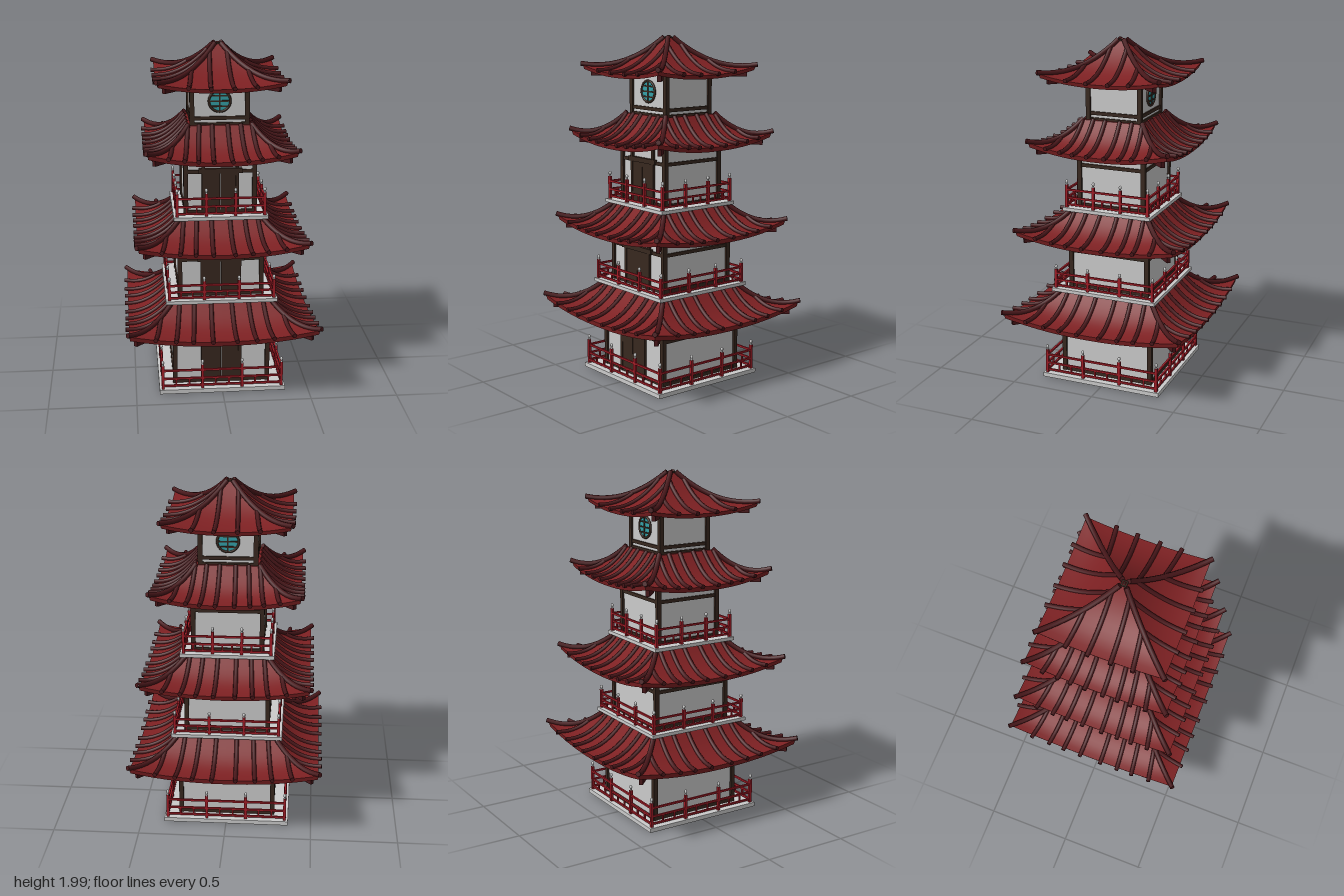
import * as THREE from 'three';
import { toCreasedNormals } from 'three/addons/utils/BufferGeometryUtils.js';

const mat = (color, side = THREE.FrontSide) => new THREE.MeshStandardMaterial({ color, side });
const plaster = mat(0xcccccc), stone = mat(0xcccccc), wood = mat(0x38281f), tile = mat(0x7d2022, THREE.DoubleSide);
const ribMat = mat(0x471619), railRed = mat(0xa01c26), glass = mat(0x35a0a8);

function add(parent, name, geometry, material, x = 0, y = 0, z = 0) {
  const m = new THREE.Mesh(geometry, material);
  m.name = name;
  m.position.set(x, y, z);
  parent.add(m);
  return m;
}
const box = (parent, name, material, w, h, d, x, y, z) =>
  add(parent, name, new THREE.BoxGeometry(w, h, d), material, x, y, z);

function group(parent, name) {
  const g = new THREE.Group();
  g.name = name;
  parent.add(g);
  return g;
}

// Calls build once per side, with the side group turned to face outwards
function fourSides(parent, name, build) {
  for (let i = 0; i < 4; i++) {
    const g = group(parent, name);
    g.rotation.y = i * Math.PI / 2;
    build(g, i);
  }
}

// Swept roof: concave slope, eaves curving up towards the corners
function addRoof(parent, { top, a, e, drop, lift, thick, wall, ribs }) {
  const roof = group(parent, 'roof');
  const height = (x, d) => {
    const t = THREE.MathUtils.clamp((d - a) / (e - a), 0, 1.05);
    const u = d > 0 ? Math.min(Math.abs(x) / d, 1) : 0;
    return top - drop * (1 - Math.pow(Math.max(1 - t, 0), 2.1)) + lift * t * t * Math.pow(u, 2.2);
  };
  const N = 10, M = 16;
  const tube = (parentSide, name, points, r) => {
    const curve = new THREE.CatmullRomCurve3(points);
    add(parentSide, name, new THREE.TubeGeometry(curve, 12, r, 8), ribMat);
    // closed ends
    [0, 1].forEach(t => {
      const cap = add(parentSide, name + 'End', new THREE.CircleGeometry(r, 8), ribMat);
      const p = curve.getPoint(t), dir = curve.getTangent(t).multiplyScalar(t ? 1 : -1);
      cap.position.copy(p);
      cap.quaternion.setFromUnitVectors(new THREE.Vector3(0, 0, 1), dir);
    });
  };

  fourSides(roof, 'roofSide', side => {
    // rows 0..N slope, N+1 eave edge, N+2 soffit
    const geo = new THREE.PlaneGeometry(2, 1, M, N + 2);
    const p = geo.attributes.position;
    for (let i = 0; i < p.count; i++) {
      const row = Math.floor(i / (M + 1)), u = p.getX(i);
      const d = row <= N ? a + (e - a) * row / N : row === N + 1 ? e - 0.006 : wall - 0.01;
      let y = height(u * d, d);
      if (row === N + 1) y = height(u * e, e) - thick;
      if (row === N + 2) y = top - drop - thick + 0.05;
      p.setXYZ(i, u * d, y, d);
    }
    add(side, 'roofSlope', toCreasedNormals(geo, 0.6), tile);

    // tile ribs, drawing slightly together uphill until they meet the hip
    for (const f of ribs) for (const s of [-1, 1]) {
      const xAt = d => f * e * (1 - 0.25 * (1 - d / e));
      const start = Math.max(a, f * e * 0.75 / (1 - 0.25 * f));
      const pts = [];
      for (let k = 0; k <= 8; k++) {
        const d = start + (e + 0.018 - start) * k / 8, x = xAt(d);
        pts.push(new THREE.Vector3(s * x, height(x, d) + 0.005, d));
      }
      tube(side, 'tileRib', pts, 0.0125);
    }

    // hip ridge along the corner
    const hip = [], from = Math.max(a, 0.018);
    for (let k = 0; k <= 10; k++) {
      const d = from + (e + 0.008 - from) * k / 10;
      hip.push(new THREE.Vector3(d, height(d, d) + 0.008, d));
    }
    tube(side, 'hipRidge', hip, 0.0145);

    // corner rafter under the eave
    const c = e - 0.07;
    const rafter = box(side, 'cornerRafter', ribMat, 0.022, 0.035, 0.1, c, top - drop + lift * 0.45 - thick, c);
    rafter.rotation.y = Math.PI / 4;
  });
  if (a > 0.05) box(roof, 'roofCap', tile, 2 * a, 0.012, 2 * a, 0, top - 0.006, 0);
  return roof;
}

// Balcony slab with a four-sided railing
function addBalcony(parent, { half, y, h, s }) {
  const g = group(parent, 'balcony');
  g.position.set(0, y, 0.008);
  box(g, 'slab', stone, 2 * half, h, 2 * half, 0, h / 2, 0);
  const r = half - 0.02, step = 2 * r / 3;
  fourSides(g, 'railing', side => {
    [0.018, 0.062, 0.113].forEach(ry =>
      box(side, 'rail', railRed, 2 * r, 0.011, 0.011, 0, h + ry * s, r));
    for (let i = 0; i < 3; i++) {
      const x = -r + i * step;
      box(side, 'railPost', railRed, 0.016, 0.145 * s, 0.016, x, h + 0.0725 * s, r);
      add(side, 'postNeck', new THREE.CylinderGeometry(0.005, 0.007, 0.016, 8), stone, x, h + 0.15 * s, r);
      add(side, 'finial', new THREE.SphereGeometry(0.009, 8, 6).scale(1, 1.3, 1), stone, x, h + 0.165 * s, r);
      for (const k of [1, 2])
        box(side, 'baluster', railRed, 0.009, 0.045 * s, 0.009, x + step * k / 3, h + 0.04 * s, r);
    }
  });
}

// Plastered storey with timber frame
function addStorey(parent, { w, y0, y1, beams, door }) {
  const g = group(parent, 'storey'), h = y1 - y0, mid = (y0 + y1) / 2, inner = w - 0.012;
  box(g, 'walls', plaster, 2 * inner, h, 2 * inner, 0, mid, 0);
  fourSides(g, 'timberFrame', side => {
    box(side, 'cornerPost', wood, 0.026, h, 0.026, w - 0.013, mid, w - 0.013);
    beams.forEach(by => box(side, 'beam', wood, 2 * w - 0.05, 0.02, 0.016, 0, by, w - 0.012));
  });
  if (door) {
    const d = group(g, 'door'), dh = door.top - y0;
    for (const s of [-1, 1]) {
      box(d, 'doorLeaf', wood, door.w - 0.002, dh, 0.02, s * door.w / 2, y0 + dh / 2, w - 0.01);
      box(d, 'doorPost', wood, 0.018, h, 0.026, s * (door.w + 0.008), mid, w - 0.01);
    }
    box(d, 'lintel', wood, 2 * door.w + 0.07, 0.028, 0.03, 0, door.top - 0.012, w - 0.008);
  }
}

// Round window with a lattice
function addWindow(parent, y, z, turn) {
  const g = group(parent, 'roundWindow');
  g.position.set(0, y, z);
  g.rotation.y = turn;
  add(g, 'windowPane', new THREE.CylinderGeometry(0.06, 0.06, 0.01, 32).rotateX(Math.PI / 2), glass);
  add(g, 'windowFrame', new THREE.TorusGeometry(0.06, 0.007, 8, 32), wood, 0, 0, 0.004);
  box(g, 'windowBar', wood, 0.008, 0.118, 0.01, 0, 0, 0.005);
  [-0.03, 0, 0.03].forEach(by =>
    box(g, 'windowBar', wood, 2 * Math.sqrt(0.0036 - by * by), 0.008, 0.01, 0, by, 0.005));
}

export function createModel() {
  const pagoda = new THREE.Group();
  pagoda.name = 'pagoda';
  const ribs = [0.125, 0.33, 0.51, 0.72];
  const tiers = [
    { balcony: { half: 0.365, y: 0, h: 0.025, s: 1 },
      storey: { w: 0.283, y0: 0.02, y1: 0.45, beams: [0.285, 0.035], door: { w: 0.1, top: 0.303 } },
      roof: { top: 0.54, a: 0.275, e: 0.535, drop: 0.15, lift: 0.05, thick: 0.028, wall: 0.283, ribs } },
    { balcony: { half: 0.32, y: 0.537, h: 0.02, s: 0.78 },
      storey: { w: 0.248, y0: 0.55, y1: 0.94, beams: [0.776, 0.567], door: { w: 0.1, top: 0.793 } },
      roof: { top: 1.02, a: 0.23, e: 0.475, drop: 0.138, lift: 0.048, thick: 0.026, wall: 0.248, ribs } },
    { balcony: { half: 0.268, y: 1.02, h: 0.02, s: 0.92 },
      storey: { w: 0.208, y0: 1.03, y1: 1.44, beams: [1.285, 1.05], door: { w: 0.088, top: 1.303 } },
      roof: { top: 1.545, a: 0.178, e: 0.412, drop: 0.152, lift: 0.048, thick: 0.026, wall: 0.208, ribs } },
    { storey: { w: 0.168, y0: 1.535, y1: 1.82, beams: [1.583, 1.548] },
      roof: { top: 1.99, a: 0.005, e: 0.352, drop: 0.205, lift: 0.035, thick: 0.022, wall: 0.168, ribs: [0.18, 0.52] } },
  ];
  tiers.forEach((t, i) => {
    const g = group(pagoda, 'tier' + (i + 1));
    if (t.balcony) addBalcony(g, t.balcony);
    addStorey(g, t.storey);
    const roof = addRoof(g, t.roof);
    if (i === 3) {
      roof.position.z = 0.015;
      box(roof, 'peakBlock', wood, 0.034, 0.03, 0.034, 0, 1.97, 0);
      addWindow(g, 1.68, 0.158, 0);
      addWindow(g, 1.68, -0.158, Math.PI);
    }
  });
  return pagoda;
}
